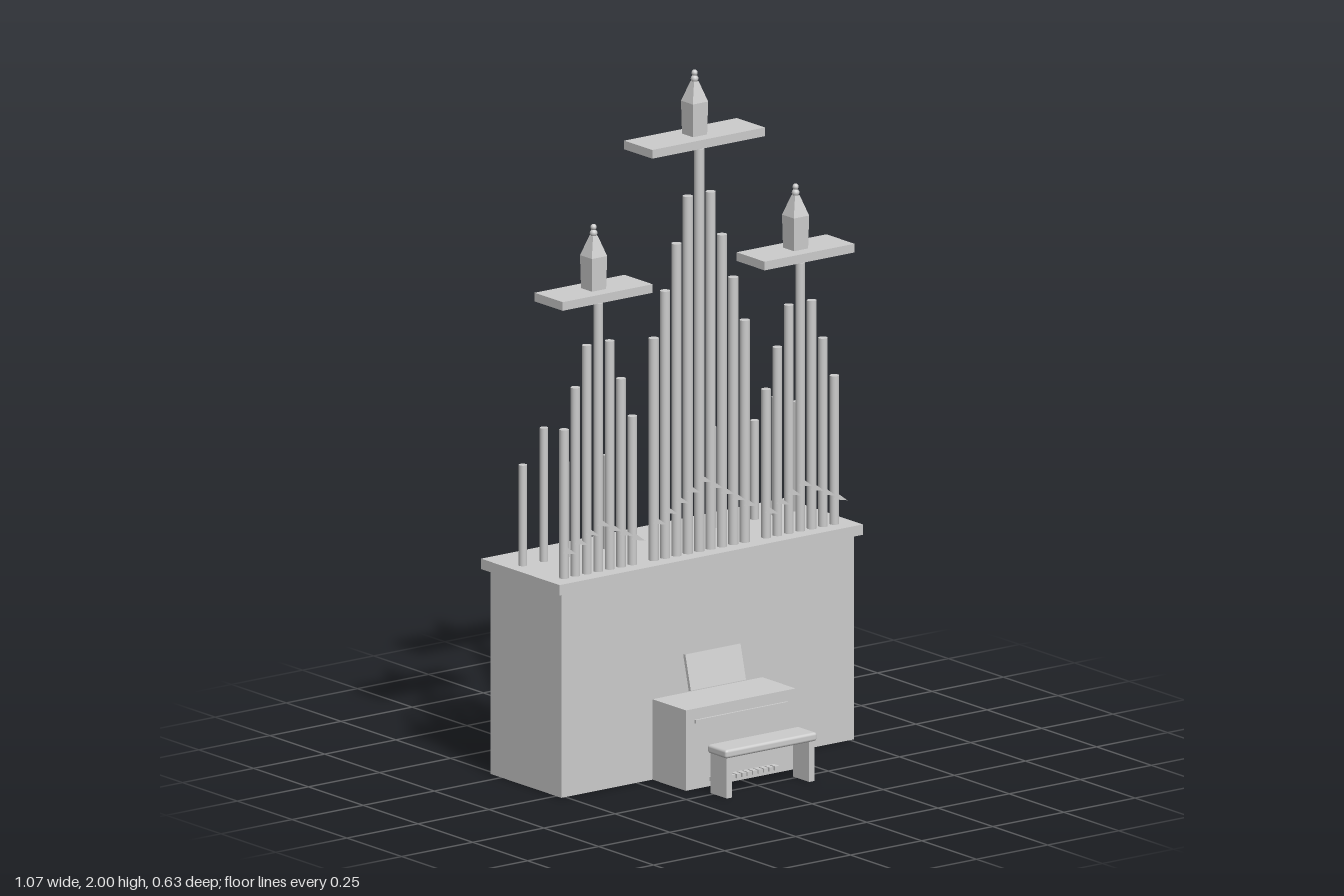
import * as THREE from 'three';
import { RoundedBoxGeometry } from 'three/addons/geometries/RoundedBoxGeometry.js';

export function createModel() {
  const model = new THREE.Group();
  model.name = 'pipeOrgan';
  const grey = new THREE.MeshStandardMaterial({ color: 0xcccccc });
  grey.name = 'light grey';

  function add(name, geometry, x, y, z, parent = model) {
    const mesh = new THREE.Mesh(geometry, grey);
    mesh.name = name;
    mesh.position.set(x, y, z);
    parent.add(mesh);
    return mesh;
  }
  // Box given by its limits on each axis
  function box(name, x0, x1, y0, y1, z0, z1, parent = model) {
    return add(name, new THREE.BoxGeometry(x1 - x0, y1 - y0, z1 - z0),
      (x0 + x1) / 2, (y0 + y1) / 2, (z0 + z1) / 2, parent);
  }
  function group(name) {
    const g = new THREE.Group();
    g.name = name;
    model.add(g);
    return g;
  }

  // Main case and its overhanging top
  box('case', -0.514, 0.514, 0, 0.59, -0.3, 0.024);
  box('caseTop', -0.533, 0.533, 0.59, 0.62, -0.318, 0.04);

  // Console with key shelf, music stand and pedals
  const console_ = group('console');
  box('consoleBody', -0.194, 0.192, 0, 0.232, 0.02, 0.176, console_);
  box('keyShelf', -0.163, 0.161, 0.19, 0.2, 0.17, 0.182, console_);
  const stand = add('musicStand', new THREE.BoxGeometry(0.194, 0.102, 0.01), -0.002, 0.3, 0.058, console_);
  stand.rotation.x = -0.25;
  for (let i = 0; i < 12; i++) {
    const x = -0.103 + i * 0.0192;
    box('pedal', x - 0.0072, x + 0.0072, 0.015, 0.027, 0.15, 0.2, console_);
  }

  // Bench
  const bench = group('bench');
  add('seat', new RoundedBoxGeometry(0.322, 0.025, 0.087, 2, 0.008), 0, 0.128, 0.273, bench);
  for (const s of [-1, 1]) {
    add('benchLeg', new THREE.BoxGeometry(0.018, 0.118, 0.073), s * 0.145, 0.059, 0.274, bench);
  }

  // Pipe standing on the case top
  function pipe(x, z, top, r, parent) {
    const h = top - 0.62;
    add('pipe', new THREE.CylinderGeometry(r, r, h, 16), x, 0.62 + h / 2, z, parent);
  }

  // Square tapered finial with two small beads
  function finial(x, y, parent) {
    const profile = [[0, 0], [0.025, 0], [0.027, 0.095], [0.008, 0.153], [0, 0.153]]
      .map(([r, h]) => new THREE.Vector2(r * Math.SQRT2, h));
    const body = new THREE.LatheGeometry(profile, 4, Math.PI / 4).toNonIndexed();
    body.computeVertexNormals();
    add('finial', body, x, y, -0.036, parent);
    add('finialBead', new THREE.SphereGeometry(0.011, 12, 8), x, y + 0.16, -0.036, parent);
    add('finialBead', new THREE.SphereGeometry(0.009, 12, 8), x, y + 0.177, -0.036, parent);
  }

  // Tower: pipes stepping down from the middle, spikes, canopy board and finial
  function tower(name, cx, steps, top, drop, spikeTop, spikeDrop, boardHalf, r) {
    const g = group(name);
    for (let i = -steps; i <= steps; i++) {
      const n = Math.abs(i), x = cx + i * 0.04;
      pipe(x, -0.015, top - n * drop, r, g);
      const cone = new THREE.ConeGeometry(0.012, 0.05, 3).toNonIndexed();
      cone.computeVertexNormals();
      cone.rotateY(Math.PI);
      cone.rotateX(Math.PI / 2);
      add('pipeSpike', cone, x, spikeTop - n * spikeDrop, 0.02, g);
    }
    box('canopyBoard', cx - boardHalf, cx + boardHalf, top + 0.012, top + 0.037, -0.1, 0.028, g);
    finial(cx, top + 0.037, g);
  }
  tower('centreTower', 0, 4, 1.78, 0.13, 0.83, 0.024, 0.198, 0.0145);
  for (const s of [-1, 1]) {
    tower(s > 0 ? 'leftTower' : 'rightTower', s * 0.355, 3, 1.393, 0.115, 0.76, 0.02, 0.158, 0.0135);
  }

  // Loose rear rows of shorter pipes
  const rear = group('rearPipes');
  [0.91, 1.005, 0.895, 0.97, 0.89].forEach((top, i) => pipe(-0.484 + i * 0.074, -0.191, top, 0.012, rear));
  [0.91, 1.0, 0.905, 0.96, 0.935].forEach((top, i) => pipe(0.182 + i * 0.074, -0.191, top, 0.012, rear));

  return model;
}
